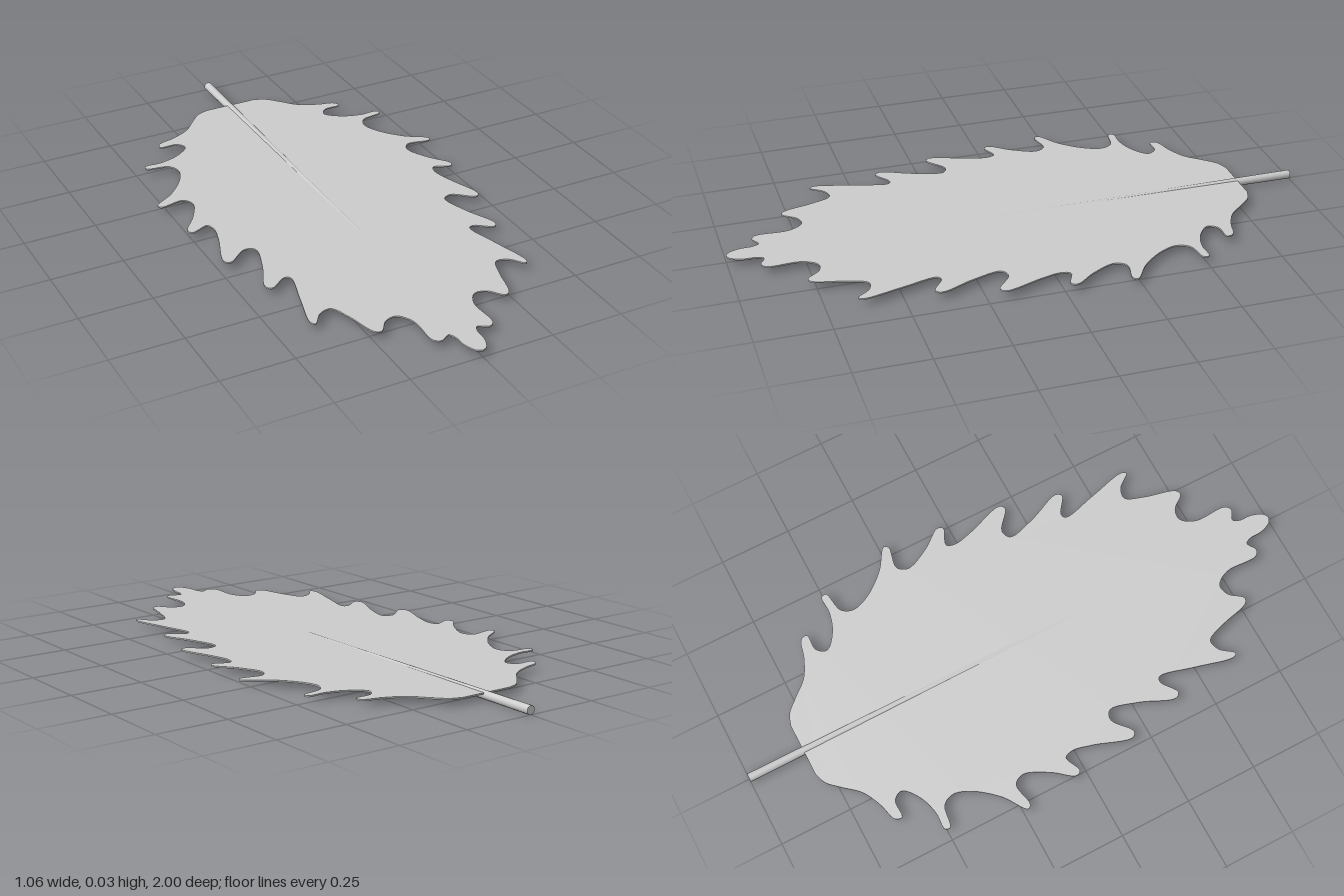
import * as THREE from 'three';

// Half outline of the blade as [x, z], from the stalk end to the tip
const HALF = [
  [0.095, -0.8], [0.135, -0.785], [0.175, -0.745], [0.225, -0.69], [0.29, -0.657],
  [0.355, -0.636], [0.36, -0.612], [0.30, -0.607], [0.28, -0.575], [0.33, -0.53],
  [0.4, -0.508], [0.462, -0.507], [0.465, -0.488], [0.39, -0.47], [0.37, -0.43],
  [0.39, -0.37], [0.455, -0.29], [0.53, -0.235], [0.52, -0.22], [0.44, -0.23],
  [0.418, -0.195], [0.455, -0.11], [0.505, -0.04], [0.495, -0.02], [0.435, -0.04],
  [0.423, -0.01], [0.438, 0.06], [0.478, 0.19], [0.46, 0.205], [0.39, 0.155],
  [0.357, 0.17], [0.38, 0.27], [0.425, 0.385], [0.41, 0.404], [0.35, 0.367],
  [0.332, 0.375], [0.36, 0.5], [0.39, 0.63], [0.38, 0.645], [0.34, 0.6],
  [0.3, 0.592], [0.27, 0.66], [0.24, 0.765], [0.22, 0.773], [0.18, 0.728],
  [0.14, 0.722], [0.108, 0.77], [0.106, 0.885], [0.085, 0.9], [0.05, 0.883],
  [0.038, 0.905], [0.035, 0.95], [0.018, 0.99], [0, 1],
];

export function createModel() {
  const leaf = new THREE.Group();
  leaf.name = 'leaf';
  const material = new THREE.MeshStandardMaterial({ color: 0xcccccc });

  // Blade: smooth toothed half outline, mirrored and given a slight thickness
  const curve = new THREE.CatmullRomCurve3(
    HALF.map(([x, z]) => new THREE.Vector3(x, z, 0)), false, 'centripetal');
  const right = curve.getPoints((HALF.length - 1) * 6).map((p) => new THREE.Vector2(p.x, p.y));
  const left = right.slice(0, -1).reverse().map((p) => new THREE.Vector2(-p.x, p.y));
  const bladeGeometry = new THREE.ExtrudeGeometry(new THREE.Shape([...right, ...left]), {
    depth: 0.005, bevelEnabled: false,
  });
  bladeGeometry.rotateX(Math.PI / 2); // outline y becomes z, thickness hangs down
  const blade = new THREE.Mesh(bladeGeometry, material);
  blade.name = 'blade';
  blade.position.y = 0.0245;
  leaf.add(blade);

  // Midrib: tapering rod that runs on past the blade as the stalk
  const back = -1, front = 0.97;
  const ribGeometry = new THREE.CylinderGeometry(0.007, 0.015, front - back, 16);
  ribGeometry.rotateX(Math.PI / 2);
  const rib = new THREE.Mesh(ribGeometry, material);
  rib.name = 'midrib';
  rib.position.set(0, 0.015, (front + back) / 2);
  leaf.add(rib);

  return leaf;
}
